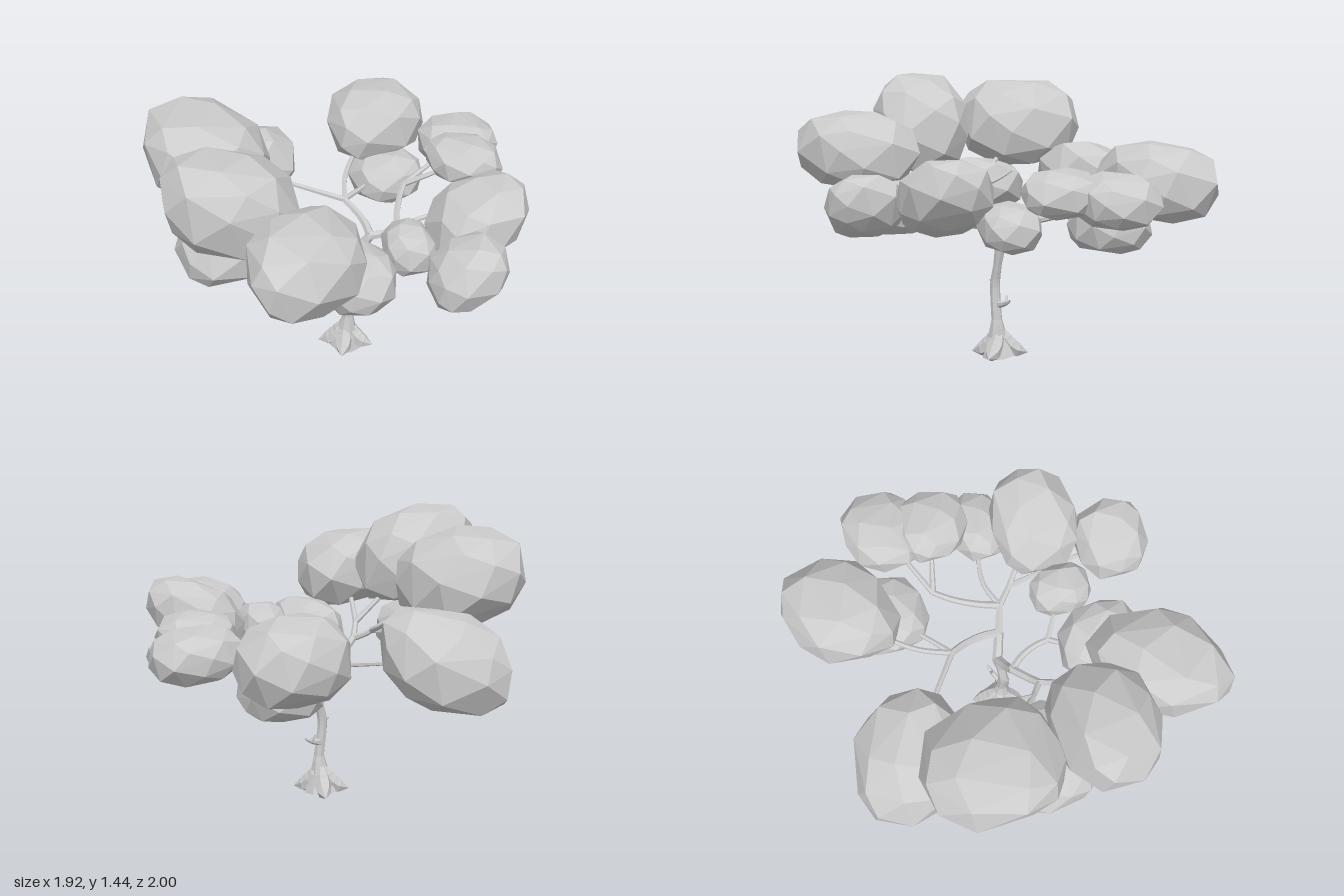
import * as THREE from 'three';
import { ConvexGeometry } from 'three/addons/geometries/ConvexGeometry.js';

const material = new THREE.MeshStandardMaterial({ color: 0xcccccc, flatShading: true, side: THREE.DoubleSide });
const vec = (x, y, z) => new THREE.Vector3(x, y, z);

function addMesh(parent, geometry, name) {
  const mesh = new THREE.Mesh(geometry, material);
  mesh.name = name;
  parent.add(mesh);
}

function addGroup(parent, name) {
  const group = new THREE.Group();
  group.name = name;
  parent.add(group);
  return group;
}

// Tapered tube through points; radii are spread evenly along its length
function limb(points, radii, sides = 6) {
  const curve = new THREE.CatmullRomCurve3(points);
  const steps = points.length * 4;
  const geometry = new THREE.TubeGeometry(curve, steps, 1, sides);
  const pos = geometry.attributes.position;
  const v = vec(0, 0, 0);
  for (let i = 0; i <= steps; i++) {
    const centre = curve.getPointAt(i / steps);
    const f = (i / steps) * (radii.length - 1);
    const k = Math.min(Math.floor(f), radii.length - 2);
    const r = THREE.MathUtils.lerp(radii[k], radii[k + 1], f - k);
    for (let j = 0; j <= sides; j++) {
      const n = i * (sides + 1) + j;
      v.fromBufferAttribute(pos, n).sub(centre).multiplyScalar(r).add(centre);
      pos.setXYZ(n, v.x, v.y, v.z);
    }
  }
  geometry.computeVertexNormals();
  return geometry;
}

// Branch between two joints: runs out low, then rises, with a sideways bow
function bough(from, to, start, end, bow = 0) {
  const along = to.clone().sub(from);
  const side = vec(-along.z, 0, along.x).multiplyScalar(bow);
  const at = (t, rise) => from.clone().add(vec(along.x * t, along.y * rise, along.z * t)).addScaledVector(side, 4 * t * (1 - t));
  return limb([from, at(0.35, 0.3), at(0.7, 0.62), to], [start, end]);
}

// Faceted convex mass of given centre and size; slope skews y by x, skew turns z by x, pitch skews y by z
function leafMass(centre, size, slope, skew, pitch) {
  const count = 34;
  const points = [];
  const full = (c) => Math.sign(c) * Math.abs(c) ** 0.83;
  for (let i = 0; i < count; i++) {
    const h = 1 - (2 * i + 1) / count;
    const a = centre.x * 20 + i * 2.39996 + 0.15 * Math.sin(i * 7.3 + centre.z * 30);
    const r = Math.sqrt(1 - h * h);
    const x = full(r * Math.cos(a));
    const z = full(r * Math.sin(a));
    points.push(vec(x, full(h) + slope * x + pitch * z, z + skew * x));
  }
  const bounds = new THREE.Box3().setFromPoints(points);
  const middle = bounds.getCenter(vec(0, 0, 0));
  const scale = size.clone().divide(bounds.getSize(vec(0, 0, 0)));
  points.forEach((p) => p.sub(middle).multiply(scale).add(centre));
  return new ConvexGeometry(points);
}

export function createModel() {
  const tree = new THREE.Group();
  tree.name = 'tree';

  // Trunk with flared foot
  const fork = vec(0.02, 0.6, 0);
  addMesh(tree, limb([vec(0, 0.02, 0), vec(0, 0.1, 0.01), vec(0.005, 0.2, 0.015), vec(-0.015, 0.4, 0.02), vec(0.005, 0.5, 0.012), fork],
    [0.09, 0.052, 0.028, 0.027, 0.026, 0.022, 0.028], 8), 'trunk');

  // Stout blunt roots around the foot
  const roots = addGroup(tree, 'roots');
  for (let i = 0; i < 4; i++) {
    const angle = 0.6 + i * 1.42;
    const at = (r, y) => vec(Math.cos(angle) * r, y, Math.sin(angle) * r);
    addMesh(roots, limb([at(0.005, 0.16), at(0.04, 0.09), at(0.085, 0.052), at(0.13, 0.038), at(0.148, 0.034)],
      [0.02, 0.042, 0.046, 0.038, 0.002]), 'root');
  }

  // Main branches between joints
  const branches = addGroup(tree, 'branches');
  const joint = (from, to, start, end, bow) => {
    addMesh(branches, bough(from, to, start, end, bow), 'branch');
    return to;
  };
  const crotch = joint(fork, vec(0.12, 0.71, 0.04), 0.028, 0.024);
  const right = joint(crotch, vec(0.25, 0.745, 0.085), 0.024, 0.02);
  const rightBack = joint(right, vec(0.39, 0.82, -0.23), 0.02, 0.015, -0.05);
  const rightFront = joint(right, vec(0.33, 0.765, 0.16), 0.019, 0.015);
  const back = joint(crotch, vec(0.06, 0.78, -0.23), 0.023, 0.018, 0.08);
  const leftFork = joint(fork, vec(-0.1, 0.73, 0.04), 0.028, 0.023);
  const left = joint(leftFork, vec(-0.23, 0.8, 0.14), 0.022, 0.02);
  const leftOuter = joint(left, vec(-0.31, 0.85, 0.08), 0.018, 0.014);
  const leftFront = joint(left, vec(-0.28, 0.86, 0.24), 0.018, 0.014);
  const front = joint(leftFork, vec(-0.01, 0.76, 0.26), 0.02, 0.015, -0.1);
  joint(leftOuter, vec(-0.31, 0.95, -0.13), 0.016, 0.007);

  // Stubs on the trunk
  const stub = joint(vec(0, 0.29, 0.01), vec(0.06, 0.31, -0.02), 0.02, 0.012);
  joint(stub, vec(0.095, 0.33, -0.035), 0.012, 0.005);
  joint(stub, vec(0.04, 0.345, -0.03), 0.01, 0.004);
  joint(vec(-0.01, 0.4, 0.02), vec(-0.055, 0.415, 0.035), 0.018, 0.008);

  // Each leaf mass hangs on a twig from its joint
  const foliage = addGroup(tree, 'foliage');
  const leaves = (from, centre, size, slope = 0, skew = 0, pitch = 0, bow = 0) => {
    addMesh(branches, bough(from, from.clone().lerp(centre, 0.8), 0.016, 0.01, bow), 'twig');
    addMesh(foliage, leafMass(centre, size, slope, skew, pitch), 'leafMass');
  };
  leaves(back, vec(-0.43, 0.865, -0.59), vec(0.62, 0.47, 0.58), 0.2, 0.1, 0.25);
  leaves(back, vec(0.37, 0.965, -0.715), vec(0.555, 0.39, 0.57), -0.05, -0.22, 0, -0.1);
  leaves(back, vec(0.365, 0.75, -0.48), vec(0.41, 0.26, 0.4));
  leaves(leftOuter, vec(-0.655, 1.18, -0.24), vec(0.61, 0.46, 0.68), -0.2);
  leaves(leftOuter, vec(-0.615, 0.825, 0.025), vec(0.53, 0.35, 0.55), 0.2);
  leaves(leftFront, vec(-0.645, 1.19, 0.32), vec(0.63, 0.51, 0.5), -0.28);
  leaves(leftFront, vec(-0.39, 1.07, 0.69), vec(0.58, 0.4, 0.62), -0.12, -0.32);
  leaves(front, vec(-0.095, 0.805, 0.51), vec(0.35, 0.29, 0.44), 0.15, 0.1, 0, 0.1);
  leaves(front, vec(0.2, 0.85, 0.39), vec(0.26, 0.24, 0.32));
  leaves(rightFront, vec(0.565, 0.945, 0.365), vec(0.49, 0.39, 0.45), 0.4);
  leaves(rightFront, vec(0.37, 0.89, 0.725), vec(0.365, 0.32, 0.37), 0.35);
  leaves(right, vec(0.68, 0.82, 0.095), vec(0.385, 0.22, 0.29), -0.1, 0, 0, -0.15);
  leaves(rightBack, vec(0.685, 0.97, -0.15), vec(0.37, 0.22, 0.38), -0.1, 0.1);
  leaves(rightBack, vec(0.745, 0.94, -0.39), vec(0.44, 0.26, 0.4), -0.1, -0.1);
  return tree;
}
